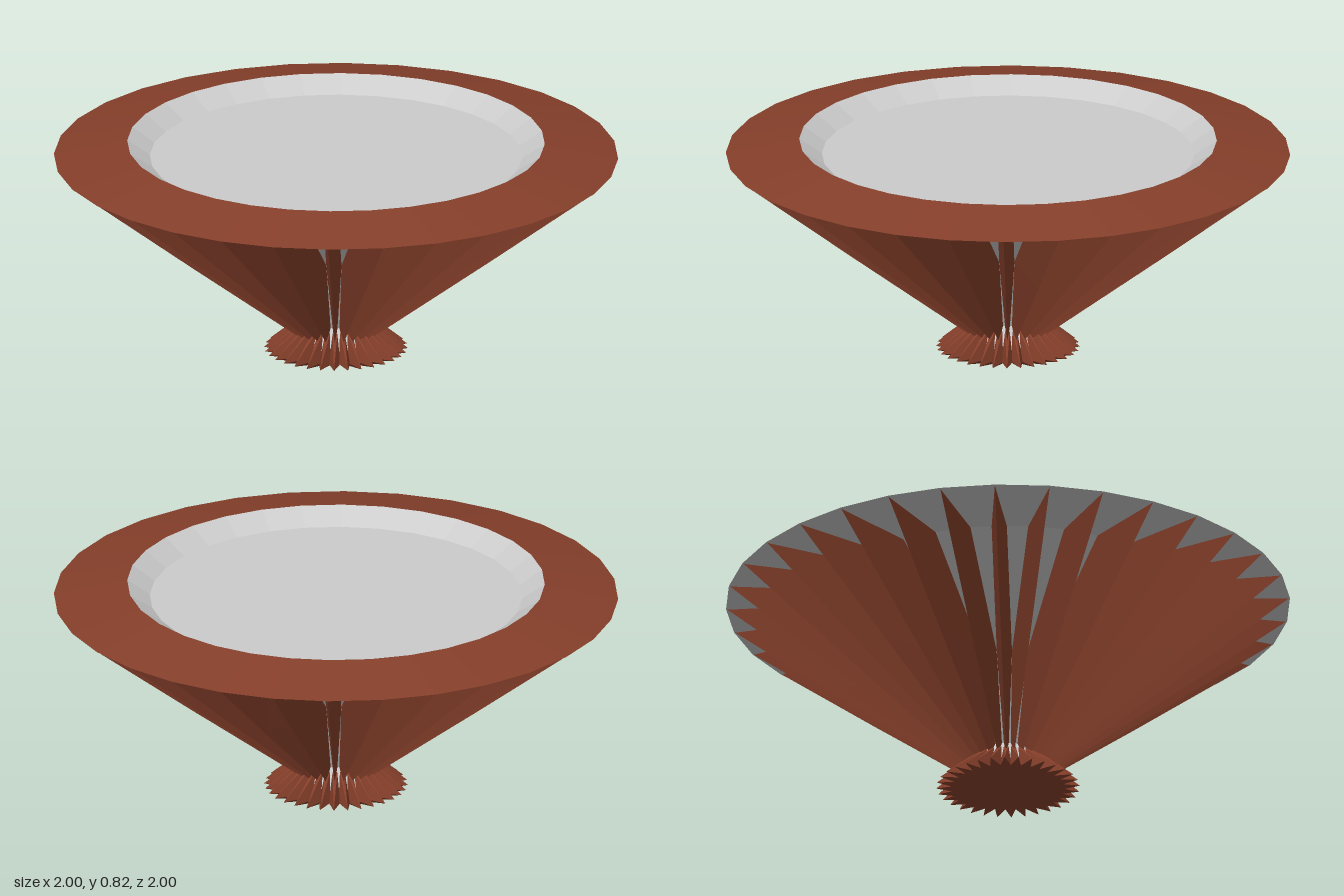
import * as THREE from 'three';

const SIDES = 32;
const brown = new THREE.MeshStandardMaterial({ color: 0x853f2a, flatShading: true, side: THREE.DoubleSide });
const grey = new THREE.MeshStandardMaterial({ color: 0xcccccc, flatShading: true });

// Faceted surface of revolution from [radius, height] points, listed upwards on the outside
function lathe(name, points, material) {
  const profile = points.map(([r, y]) => new THREE.Vector2(r, y));
  const geometry = new THREE.LatheGeometry(profile, SIDES).toNonIndexed();
  geometry.computeVertexNormals();
  const mesh = new THREE.Mesh(geometry, material);
  mesh.name = name;
  return mesh;
}

// One wedge-shaped rib: a sharp outer edge widening to the core.
// Each section is [outer radius, outer y, inner radius, inner y, half thickness].
function ribGeometry() {
  const sections = [
    [0.995, 0.77, 0.66, 0.768, 0.027],
    [0.596, 0.46, 0.277, 0.46, 0.027],
    [0.165, 0.13, 0.11, 0.17, 0.01],
    [0.255, 0.055, 0.18, 0.055, 0.02],
    [0, 0, 0, 0, 0],
  ];
  const positions = [];
  const tri = (...corners) => corners.forEach((c) => positions.push(...c));
  for (let i = 0; i < sections.length - 1; i++) {
    for (const side of [1, -1]) {
      const [a, b] = [sections[i], sections[i + 1]];
      const outerA = [a[0], a[1], 0], outerB = [b[0], b[1], 0];
      const innerA = [a[2], a[3], side * a[4]], innerB = [b[2], b[3], side * b[4]];
      if (side > 0) {
        tri(innerA, innerB, outerB);
        tri(innerA, outerB, outerA);
      } else {
        tri(innerA, outerB, innerB);
        tri(innerA, outerA, outerB);
      }
    }
  }
  const geometry = new THREE.BufferGeometry();
  geometry.setAttribute('position', new THREE.Float32BufferAttribute(positions, 3));
  geometry.computeVertexNormals();
  return geometry;
}

export function createModel() {
  const model = new THREE.Group();
  model.name = 'ribbedBowl';

  // Sloping rim, with the bevel and flat floor inside it
  model.add(lathe('rim', [[1, 0.772], [0.74, 0.825]], brown));
  model.add(lathe('innerBevel', [[0.74, 0.825], [0.66, 0.772]], grey));
  model.add(lathe('floor', [[0.66, 0.772], [0, 0.772]], grey));

  // Core: foot, waist, cone and the flat underside of the rim
  model.add(lathe('core', [
    [0, 0.03], [0.18, 0.055], [0.125, 0.17], [0.277, 0.46], [0.66, 0.77], [1, 0.772],
  ], grey));

  // Ribs, one under each corner of the rim
  const ribs = new THREE.Group();
  ribs.name = 'ribs';
  const geometry = ribGeometry();
  for (let i = 0; i < SIDES; i++) {
    const rib = new THREE.Mesh(geometry, brown);
    rib.name = 'rib';
    rib.rotation.y = (i / SIDES) * Math.PI * 2;
    ribs.add(rib);
  }
  model.add(ribs);
  return model;
}
